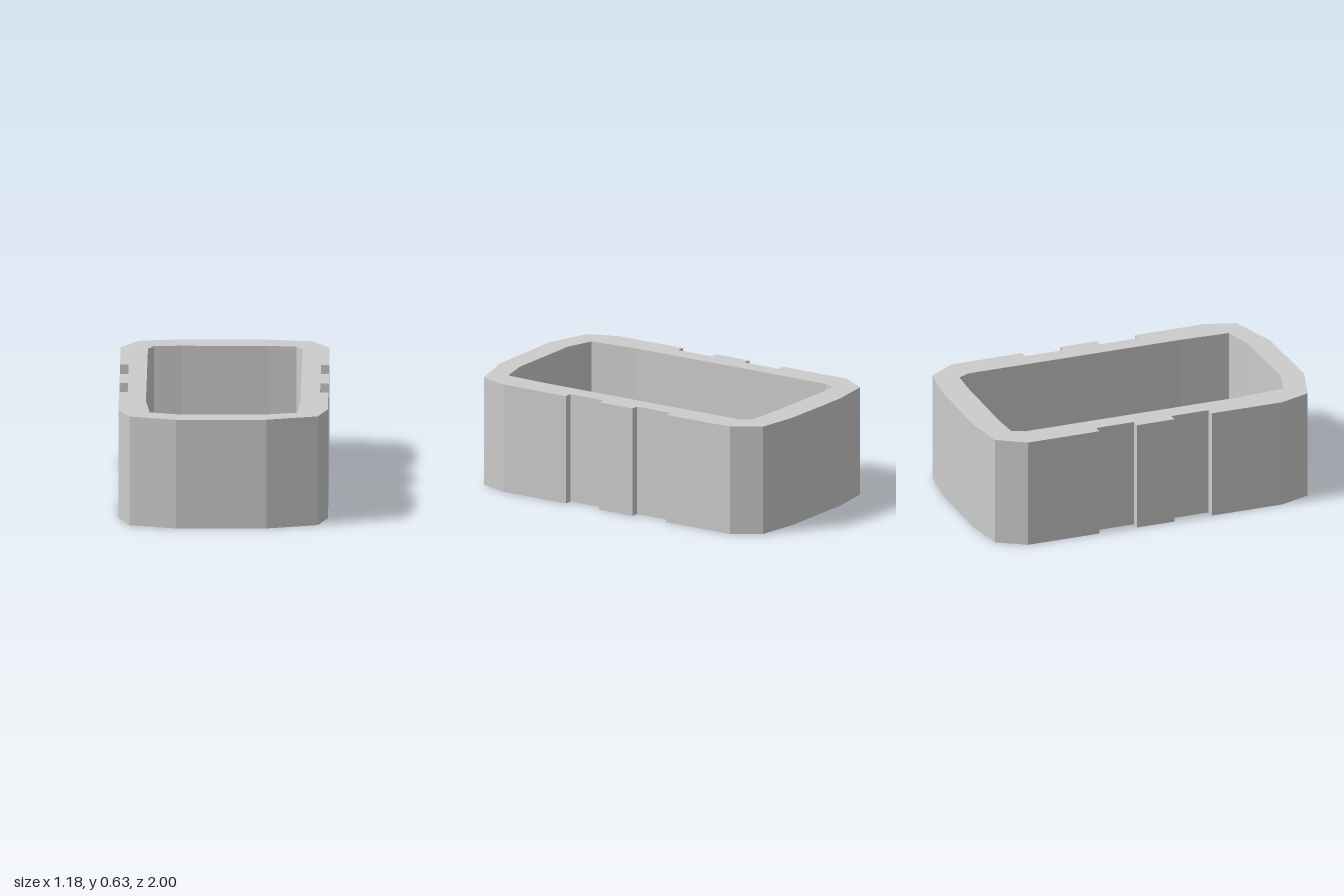
import * as THREE from 'three';

const HEIGHT = 0.63;
const FLOOR_BOTTOM = 0.04;
const FLOOR_TOP = 0.1;

// Outer plan as [x, z], with two shallow notches along each long side
const OUTER = [
  [-0.49, -0.965], [-0.24, -1], [0.245, -0.995], [0.485, -0.96], [0.587, -0.805],
  [0.59, -0.373], [0.543, -0.373], [0.543, -0.143], [0.59, -0.143],
  [0.59, 0.083], [0.543, 0.083], [0.543, 0.31], [0.59, 0.31],
  [0.59, 0.735], [0.535, 0.905], [0.245, 0.992], [-0.265, 1], [-0.528, 0.917], [-0.592, 0.738],
  [-0.592, 0.31], [-0.543, 0.31], [-0.543, 0.083], [-0.592, 0.083],
  [-0.592, -0.143], [-0.543, -0.143], [-0.543, -0.373], [-0.592, -0.373],
  [-0.592, -0.805],
];

// Inner plan of the cavity
const INNER = [
  [-0.405, -0.833], [-0.25, -0.843], [0.245, -0.838], [0.4, -0.828], [0.435, -0.763],
  [0.434, 0.533], [0.422, 0.815], [0.24, 0.86], [-0.25, 0.864], [-0.415, 0.813],
  [-0.438, 0.533], [-0.438, -0.763],
];

const toPoints = (plan) => plan.map(([x, z]) => new THREE.Vector2(x, -z));

// Raises a plan shape from y = bottom to y = top
function raise(shape, bottom, top) {
  const geometry = new THREE.ExtrudeGeometry(shape, { depth: top - bottom, bevelEnabled: false });
  return geometry.rotateX(-Math.PI / 2).translate(0, bottom, 0);
}

export function createModel() {
  const model = new THREE.Group();
  model.name = 'openTub';

  const grey = new THREE.MeshStandardMaterial({ color: 0xcccccc });
  grey.name = 'light grey';

  // Thick surrounding wall; the hole winds opposite to the outline so its sides face inward
  const wallShape = new THREE.Shape(toPoints(OUTER));
  wallShape.holes.push(new THREE.Path(toPoints(INNER).reverse()));
  const wall = new THREE.Mesh(raise(wallShape, 0, HEIGHT), grey);
  wall.name = 'wall';

  // Floor plate, set slightly above the underside of the wall
  const floor = new THREE.Mesh(raise(new THREE.Shape(toPoints(INNER)), FLOOR_BOTTOM, FLOOR_TOP), grey);
  floor.name = 'floor';

  model.add(wall, floor);
  return model;
}
